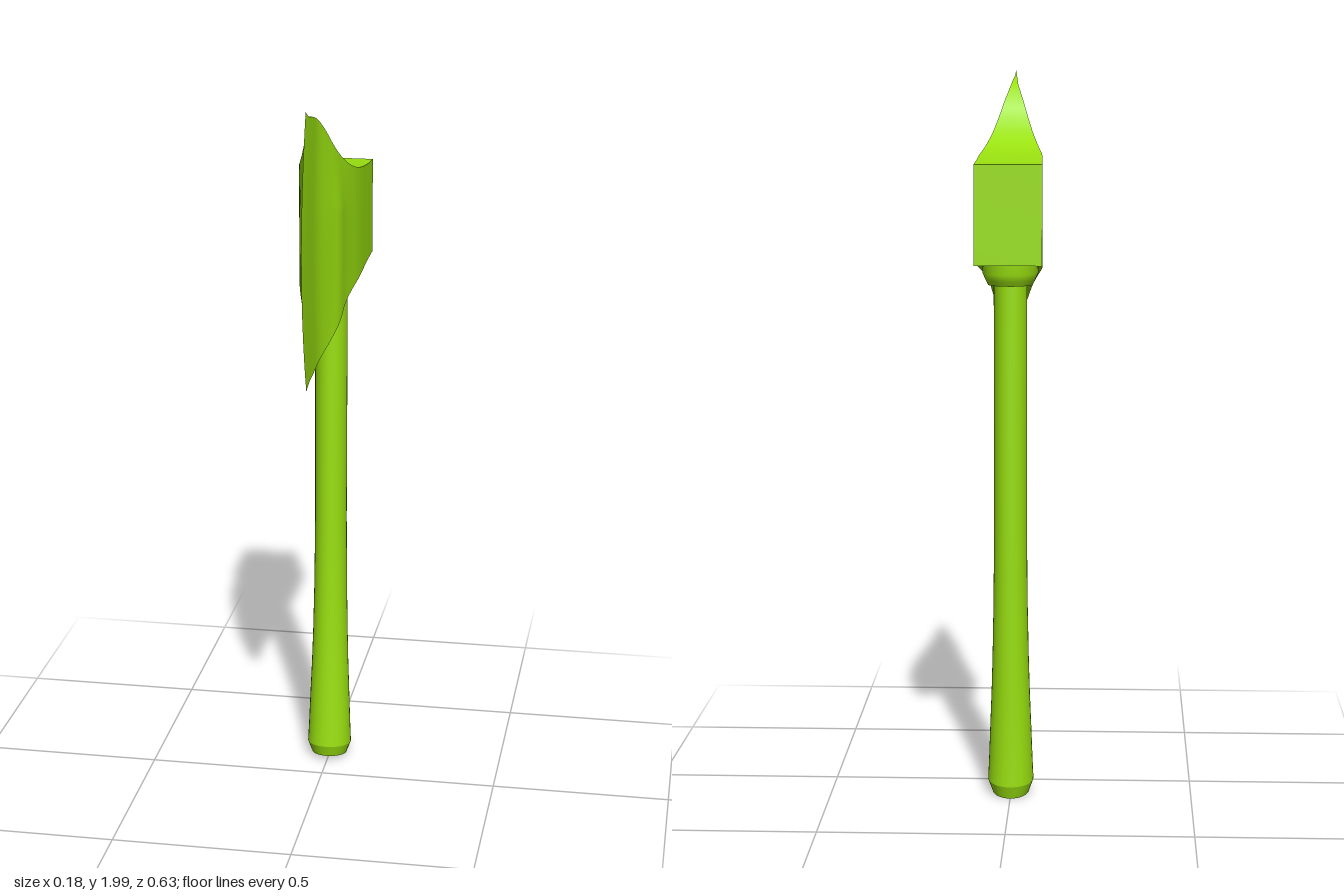
import * as THREE from 'three';
import { mergeVertices } from 'three/addons/utils/BufferGeometryUtils.js';

const material = new THREE.MeshStandardMaterial({ color: 0x99e010 });

// Smooth-shaded surface from point(u, v); it faces along du x dv.
function grid(name, point, nu, nv) {
  const pos = [], index = [];
  for (let i = 0; i <= nu; i++)
    for (let j = 0; j <= nv; j++) pos.push(...point(i / nu, j / nv));
  for (let i = 0; i < nu; i++)
    for (let j = 0; j < nv; j++) {
      const a = i * (nv + 1) + j, b = a + nv + 1;
      index.push(a, b, b + 1, a, b + 1, a + 1);
    }
  let geo = new THREE.BufferGeometry();
  geo.setAttribute('position', new THREE.Float32BufferAttribute(pos, 3));
  geo.setIndex(index);
  geo = mergeVertices(geo, 1e-5);
  geo.computeVertexNormals();
  const mesh = new THREE.Mesh(geo, material);
  mesh.name = name;
  return mesh;
}

// Elliptical sections [y, z centre, z radius, x radius, tilt], bottom to top.
function ringPoint([y, zc, rz, rx, tilt = 0], angle, scale = 1) {
  const c = Math.cos(angle) * scale, s = Math.sin(angle) * scale;
  return [c * rx, y + s * rz * tilt, zc + s * rz];
}
function loft(name, sections) {
  const n = sections.length - 1;
  return grid(name, (u, v) => ringPoint(sections[Math.round(v * n)], -u * Math.PI * 2), 32, n);
}
function bottomCap(name, section) {
  return grid(name, (u, v) => ringPoint(section, v * Math.PI * 2, u), 1, 32);
}

// Head outline along its length: [z, top y, bottom y, half width].
const outline = [
  [-0.315, 1.76, 1.495, 0.09], [-0.22, 1.766, 1.488, 0.088],
  [-0.12, 1.78, 1.47, 0.083], [-0.06, 1.797, 1.45, 0.072],
  [0, 1.832, 1.417, 0.055], [0.045, 1.873, 1.376, 0.04],
  [0.085, 1.922, 1.33, 0.024], [0.125, 1.957, 1.296, 0.011],
  [0.175, 1.974, 1.277, 0.006], [0.215, 1.982, 1.268, 0.003], [0.245, 2.0, 1.25, 0],
];
const heights = new THREE.CatmullRomCurve3(outline.map(([z, t, b]) => new THREE.Vector3(z, t, b)), false, 'centripetal');
const widths = new THREE.CatmullRomCurve3(outline.map(([z, , , w]) => new THREE.Vector3(z, w, 0)), false, 'centripetal');

// u: butt to cutting edge, side: -1..1 across, v: bottom to top.
function headPoint(u, side, v) {
  const h = heights.getPoint(u), w = widths.getPoint(u).y;
  const flare = THREE.MathUtils.clamp((h.x - 0.06) / 0.185, 0, 1);
  const curve = 0.07 * flare * (1 - (2 * v - 1) ** 2);
  // The left cheek swells slightly below the top edge.
  const swell = side > 0 ? 0.012 * Math.exp(-(((h.x - 0.04) / 0.05) ** 2)) * Math.min(1, (1 - v) * 3) : 0;
  return [side * (w + swell), THREE.MathUtils.lerp(h.z, h.y, v), h.x + curve];
}

export function createModel() {
  const model = new THREE.Group();
  model.name = 'axe';

  // Head: two cheeks, upper and lower edges, flat butt
  const head = new THREE.Group();
  head.name = 'axeHead';
  head.add(
    grid('leftCheek', (a, b) => headPoint(1 - a, 1, b), 50, 24),
    grid('rightCheek', (a, b) => headPoint(a, -1, b), 50, 24),
    grid('upperEdge', (a, b) => headPoint(a, 2 * b - 1, 1), 50, 2),
    grid('lowerEdge', (a, b) => headPoint(1 - a, 2 * b - 1, 0), 50, 2),
    grid('butt', (a, b) => headPoint(0, 2 * b - 1, a), 24, 2),
  );
  model.add(head);

  // Handle: slim shaft curving forward to a swollen, chamfered end
  const end = [0.017, -0.131, 0.054, 0.05, 0.16];
  const swell = [0.052, -0.132, 0.066, 0.063, 0.12];
  const handle = new THREE.Group();
  handle.name = 'handle';
  handle.add(
    loft('shaft', [
      swell, [0.12, -0.134, 0.063, 0.06, 0.08], [0.2, -0.137, 0.06, 0.057, 0.05],
      [0.3, -0.141, 0.057, 0.053], [0.4, -0.145, 0.055, 0.05], [0.55, -0.149, 0.053, 0.047],
      [0.75, -0.152, 0.053, 0.045], [1.0, -0.154, 0.053, 0.045], [1.55, -0.156, 0.055, 0.045],
    ]),
    loft('endChamfer', [end, swell]),
    bottomCap('handleEnd', end),
  );
  model.add(handle);

  // Collar under the head
  const collarBase = [1.432, -0.16, 0.064, 0.06];
  const collar = new THREE.Group();
  collar.name = 'collar';
  collar.add(
    loft('collarWall', [collarBase, [1.445, -0.159, 0.073, 0.067], [1.463, -0.158, 0.083, 0.075], [1.52, -0.158, 0.086, 0.077]]),
    bottomCap('collarUnderside', collarBase),
  );
  model.add(collar);
  return model;
}
